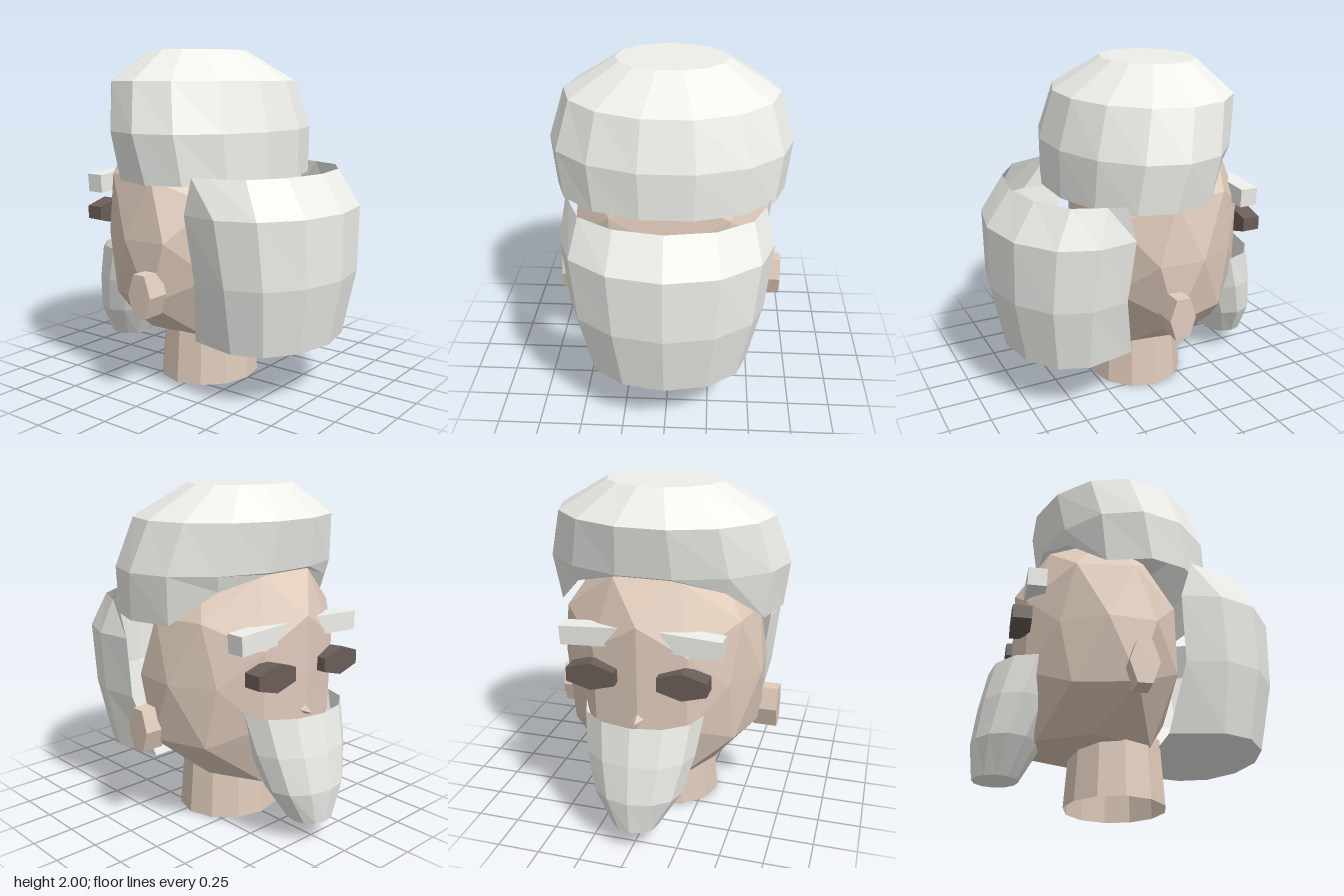
import * as THREE from 'three';

const mat = (color) => new THREE.MeshStandardMaterial({ color, flatShading: true });
const V = (x, y, z) => new THREE.Vector3(x, y, z);

// Ring of points in a horizontal plane: y, centre z, radii in x and z
function ring(n, y, cz, rx, rz) {
  return Array.from({ length: n }, (_, i) => {
    const a = (i / n) * Math.PI * 2;
    return V(rx * Math.cos(a), y, cz + rz * Math.sin(a));
  });
}

// Faceted shell through rings listed from top to bottom, closed at one end only;
// "open" leaves out the strip between the last and first points
function loft(rings, closedEnd, open = false) {
  const pts = [];
  const n = rings[0].length;
  const end = closedEnd === 'top' ? rings[0] : rings[rings.length - 1];
  const mid = end.reduce((s, p) => s.add(p), V(0, 0, 0)).divideScalar(n);
  for (let j = 0; j < n; j++) {
    const k = (j + 1) % n;
    if (closedEnd === 'top') pts.push(mid, end[k], end[j]);
    else pts.push(mid, end[j], end[k]);
    if (open && k === 0) continue;
    for (let i = 0; i < rings.length - 1; i++) {
      const a = rings[i][j], b = rings[i][k], c = rings[i + 1][j], d = rings[i + 1][k];
      pts.push(a, b, c, b, d, c);
    }
  }
  const g = new THREE.BufferGeometry().setFromPoints(pts);
  g.computeVertexNormals();
  return g;
}

// Factor that moves the point (a, b) of a round section onto a squarer one
const squareOff = (a, b, p) =>
  Math.hypot(a, b) / (Math.abs(a) ** p + Math.abs(b) ** p) ** (1 / p);

function headGeometry() {
  const g = new THREE.IcosahedronGeometry(1, 1);
  const p = g.attributes.position;
  for (let i = 0; i < p.count; i++) {
    const x = p.getX(i), y = p.getY(i), z = p.getZ(i);
    const back = Math.min(1, Math.max(0, z) * 3), front = Math.max(0, -z);
    const power = y < 0 ? 2.5 + 1.5 * back : 3.2 - 0.6 * back;
    const f = squareOff(Math.hypot(x, z), y, power);
    const h = f * (Math.hypot(x, z) > 0.01 ? squareOff(x, z, 2 + 2 * back) : 1);
    // Forehead and chin lean forward, jaw drops towards the chin
    const lean = y < 0 ? 0.12 * y * y * Math.max(0, 0.4 - z) : 0.07 * y * front;
    const drop = y < 0 ? 0.08 * y * front : 0;
    p.setXYZ(i, x * h * 0.61 * (1 - 0.18 * front), 0.92 + y * f * 0.66 + drop,
      -0.2 + z * h * (z < 0 ? 0.48 : 0.46) - lean);
  }
  g.computeVertexNormals();
  return g;
}

export function createModel() {
  const model = new THREE.Group();
  const hairMat = mat(0xeeeeea), skin = mat(0xdfcbbb), dark = mat(0x6a5d57);
  hairMat.side = THREE.DoubleSide;
  const add = (name, geometry, material) => {
    const m = new THREE.Mesh(geometry, material);
    m.name = name;
    model.add(m);
    return m;
  };

  // Head: faceted, square at the back and narrowing to the face (-z)
  add('head', headGeometry(), skin);

  // Neck: open tapered tube
  const neckMat = skin.clone();
  neckMat.side = THREE.DoubleSide;
  const neck = add('neck', new THREE.CylinderGeometry(0.298, 0.328, 0.38, 12, 1, true), neckMat);
  neck.scale.z = 0.9;
  neck.position.set(0, 0.19, -0.05);

  // Crown of hair: open below, its rim raised over the forehead
  const rim = ring(14, 1.26, 0.03, 0.68, 0.47);
  for (const q of rim) {
    const s = (0.03 - q.z) / 0.47;
    if (s <= 0) continue;
    q.z = 0.03 - s * 0.57;
    q.y = s > 0.9 ? 1.53 : s > 0.6 ? 1.45 : 1.26;
  }
  add('crownHair', loft([
    ring(14, 2, -0.135, 0.33, 0.27),
    ring(14, 1.82, -0.09, 0.635, 0.51),
    ring(14, 1.54, -0.025, 0.72, 0.53),
    rim,
  ], 'top'), hairMat);

  // Back hair: half-round shell, open above and towards the head
  // [y, cz, rx, rz, front x, front z]
  add('backHair', loft([
    [1.31, 0.38, 0.555, 0.36, 0.59, 0.28],
    [1.1, 0.445, 0.61, 0.44, 0.58, 0.22],
    [0.72, 0.48, 0.565, 0.405, 0.53, 0.25],
    [0.33, 0.465, 0.48, 0.345, 0.42, 0.17],
  ].map(([y, cz, rx, rz, fx, fz]) => [
    V(fx, y, fz), ...ring(12, y, cz, rx, rz).slice(0, 7), V(-fx, y, fz),
  ]), 'bottom', true), hairMat);

  // Beard: shell open above
  add('beard', loft([
    ring(12, 0.77, -0.55, 0.35, 0.26),
    ring(12, 0.55, -0.62, 0.32, 0.235),
    ring(12, 0.33, -0.685, 0.26, 0.197),
    ring(12, 0.13, -0.73, 0.135, 0.13),
  ], 'bottom'), hairMat);

  // Nose: small four-sided point
  const nose = add('nose', new THREE.ConeGeometry(0.07, 0.14, 4), skin);
  nose.rotation.x = -Math.PI / 2 - 0.15;
  nose.position.set(0, 0.76, -0.665);

  // Paired features
  for (const s of [1, -1]) {
    const side = s > 0 ? 'left' : 'right';

    const ear = add(side + 'Ear', new THREE.CylinderGeometry(1, 1, 0.14, 6).rotateZ(Math.PI / 2)
      .scale(1, 0.144, 0.083), skin);
    ear.position.set(s * 0.62, 0.625, -0.02);

    const eye = add(side + 'Eye', new THREE.CylinderGeometry(1, 1, 0.11, 6)
      .rotateX(Math.PI / 2).scale(0.162, 0.08, 1), dark);
    eye.position.set(s * 0.26, 1, -0.655);

    const brow = add(side + 'Brow', new THREE.BoxGeometry(0.38, 0.11, 0.11), hairMat);
    brow.position.set(s * 0.27, 1.21, -0.585);
    brow.rotation.z = s * -0.06;
  }
  return model;
}
